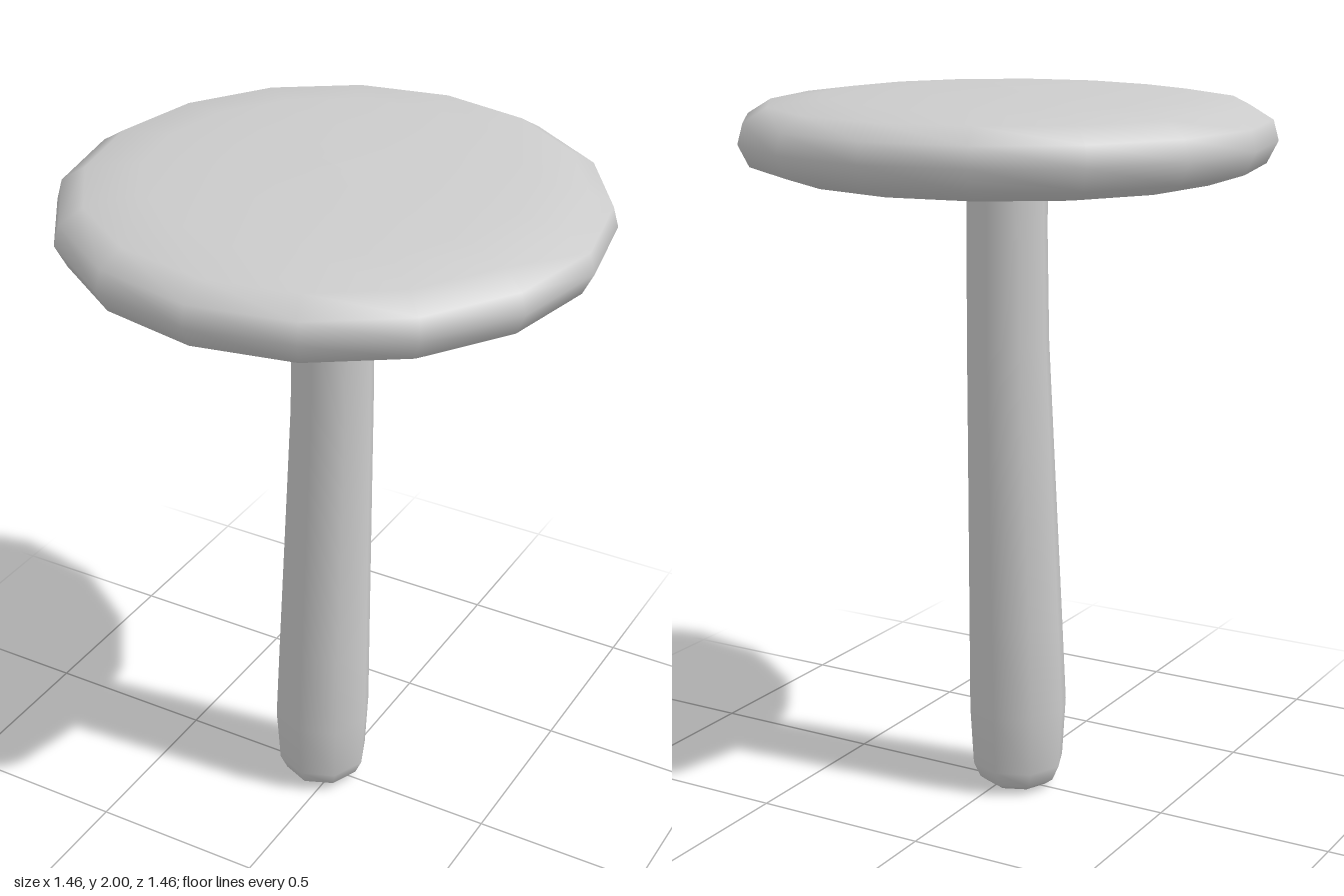
import * as THREE from 'three';

const material = new THREE.MeshStandardMaterial({ color: 0xcccccc });

// Revolve a list of [radius, height] pairs around the y axis
function lathe(name, profile, sides) {
  const points = profile.map(([r, y]) => new THREE.Vector2(r, y));
  const mesh = new THREE.Mesh(new THREE.LatheGeometry(points, sides), material);
  mesh.name = name;
  return mesh;
}

export function createModel() {
  const group = new THREE.Group();
  group.name = 'mushroom';

  // Cap: hollow underside, rounded rim, nearly flat top
  const cap = lathe('cap', [
    [0, 1.91], [0.16, 1.905], [0.29, 1.88], [0.4, 1.82], [0.5, 1.775],
    [0.6, 1.772], [0.7, 1.805], [0.73, 1.865], [0.715, 1.92],
    [0.65, 1.96], [0.5, 1.98], [0.28, 1.995], [0, 2],
  ], 16);
  group.add(cap);

  // Stem: wider towards the rounded foot
  const stem = lathe('stem', [
    [0, 0], [0.09, 0.008], [0.113, 0.025], [0.133, 0.07], [0.143, 0.24],
    [0.137, 0.5], [0.125, 1], [0.118, 1.3], [0.115, 1.6], [0.115, 1.92],
  ], 8);

  // The foot leans to the right, the upper part stands straight
  const pos = stem.geometry.attributes.position;
  for (let i = 0; i < pos.count; i++) {
    const lean = THREE.MathUtils.clamp((1.4 - pos.getY(i)) / 1.15, 0, 1);
    pos.setX(i, pos.getX(i) - 0.002 - 0.037 * lean);
  }
  group.add(stem);

  return group;
}
